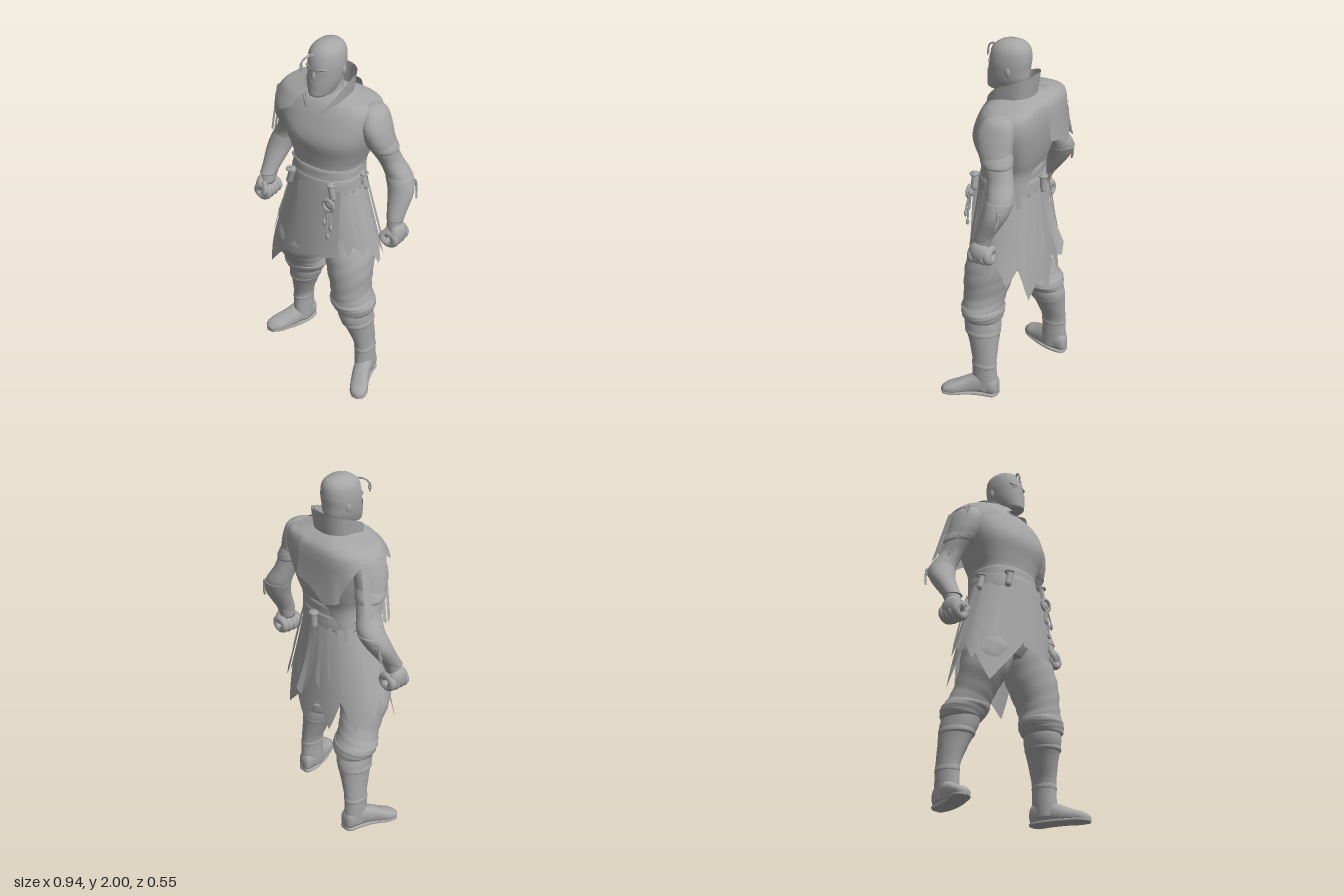
import * as THREE from 'three';

const grey = new THREE.MeshStandardMaterial({ color: 0xa6a6a6, side: THREE.DoubleSide });
grey.name = 'plain grey';
const V = (x, y, z) => new THREE.Vector3(x, y, z);

function mesh(name, geo, x = 0, y = 0, z = 0) {
  const m = new THREE.Mesh(geo, grey);
  m.name = name;
  m.position.set(x, y, z);
  return m;
}

// smooth interpolation through table rows, t in 0..1
function sample(rows, t) {
  const f = t * (rows.length - 1), i = Math.min(Math.floor(f), rows.length - 2), u = f - i;
  const at = k => rows[Math.max(0, Math.min(rows.length - 1, k))];
  const [a, b, c, d] = [at(i - 1), at(i), at(i + 1), at(i + 2)];
  return b.map((v, k) => v + 0.5 * u * (c[k] - a[k] + u * (2 * a[k] - 5 * v + 4 * c[k] - d[k] + u * (3 * (v - c[k]) + d[k] - a[k]))));
}
const pw = (v, p) => Math.sign(v) * Math.abs(v) ** (2 / p);
// rounded-box outline, with its own squareness for the back half
const outline = (a, p, pBack) => {
  const q = Math.cos(a) < 0 ? pBack : p;
  return [pw(Math.sin(a), q), pw(Math.cos(a), q)];
};
const lerpList = (l, u) => {
  const f = u * (l.length - 1), i = Math.min(Math.floor(f), Math.max(0, l.length - 2));
  return l.length < 2 ? l[0] : l[i] + (l[i + 1] - l[i]) * (f - i);
};
function buffer(pos, idx) {
  const g = new THREE.BufferGeometry();
  g.setAttribute('position', new THREE.Float32BufferAttribute(pos, 3));
  g.setIndex(idx);
  g.computeVertexNormals();
  return g;
}

// closed body through cross-sections [x, y, z, rx, rOther]
function loft(name, rows, { axis = 'y', p = 2, pBack = p, fold = 0, seg = 32 } = {}) {
  const pos = [], idx = [], n = (rows.length - 1) * 5;
  for (let i = 0; i <= n; i++) {
    const [x, y, z, rx, rz] = sample(rows, i / n);
    for (let j = 0; j < seg; j++) {
      const a = j / seg * Math.PI * 2, k = 1 + fold * Math.sin(3 * a + i * 0.9) * Math.sin(i * 0.6 + a);
      const [s, c] = outline(a, p, pBack);
      if (axis === 'y') pos.push(x + s * rx * k, y, z + c * rz * k);
      else pos.push(x + s * rx, Math.max(0, y + c * rz), z);
      const b = i * seg + j, d = i * seg + (j + 1) % seg;
      if (i < n) idx.push(b, b + seg, d + seg, b, d + seg, d);
    }
  }
  for (const [i, end] of [[0, 0], [n, 1]]) {
    const r = rows[end ? rows.length - 1 : 0], c = pos.length / 3;
    pos.push(r[0], r[1], r[2]);
    for (let j = 0; j < seg; j++) {
      const b = i * seg + j, d = i * seg + (j + 1) % seg;
      idx.push(c, end ? d : b, end ? b : d);
    }
  }
  return mesh(name, buffer(pos, idx));
}

// thin cloth lying on a surface between angles a0..a1, with shaped top and hem
function panel(name, surf, a0, a1, tops, hems, off = 0.01, flare = 0) {
  const nu = Math.max(4, (hems.length - 1) * 4, (tops.length - 1) * 4), nv = 14, pos = [], idx = [];
  for (let i = 0; i <= nv; i++) for (let j = 0; j <= nu; j++) {
    const u = j / nu, t = i / nv, top = lerpList(tops, u);
    const y = top + (lerpList(hems, u) - top) * t;
    const q = surf(a0 + (a1 - a0) * u, y, off + flare * t * t);
    pos.push(q.x, q.y, q.z);
    const b = i * (nu + 1) + j;
    if (i < nv && j < nu) idx.push(b, b + nu + 1, b + nu + 2, b, b + nu + 2, b + 1);
  }
  return mesh(name, buffer(pos, idx));
}

const tube = (name, pts, r = 0.007) =>
  mesh(name, new THREE.TubeGeometry(new THREE.CatmullRomCurve3(pts.map(q => V(...q))), 14, r, 6));
function ball(name, x, y, z, sx, sy, sz) {
  const m = mesh(name, new THREE.SphereGeometry(1, 20, 14), x, y, z);
  m.scale.set(sx, sy, sz);
  return m;
}

const TORSO = [[0, 1.745, -.01, .05, .05], [0, 1.722, -.02, .11, .085], [0, 1.702, -.03, .18, .118], [0, 1.675, -.03, .25, .145], [0, 1.6, -.015, .268, .17],
  [0, 1.5, .005, .248, .182], [0, 1.4, .005, .212, .164], [0, 1.32, .01, .187, .148], [0, 1.2, .015, .192, .15],
  [0, 1.05, .015, .2, .15], [0, .93, .01, .17, .14], [0, .85, .01, .1, .1]];
const HEAD = [[0, 2, .012, .012, .016], [0, 1.988, .012, .048, .062], [0, 1.955, .018, .077, .096], [0, 1.9, .025, .087, .109],
  [0, 1.85, .03, .085, .108], [0, 1.8, .035, .077, .108], [0, 1.76, .05, .063, .095], [0, 1.735, .065, .048, .08], [0, 1.722, .075, .02, .04]];

// surface of a body table at angle a and height y (0 = front, positive = model's left)
const onBody = (rows, p, pBack) => (a, y, off) => {
  let lo = 0, hi = 1;
  for (let k = 0; k < 24; k++) { const m = (lo + hi) / 2; sample(rows, m)[1] > y ? lo = m : hi = m; }
  const [x, , z, rx, rz] = sample(rows, lo), [s, c] = outline(a, p, pBack);
  return V(x + s * (rx + off), y + off * 0.6, z + c * (rz + off));
};
const onTorso = onBody(TORSO, 2.3, 3.4), onHead = onBody(HEAD, 2.15, 2.15);
const onCape = (a, y, off) => onTorso(a, Math.max(y, 1.59), off).setY(y + off * 0.6);
const onSkirt = (a, y, off) => V(Math.sin(a) * (.195 + (1.22 - y) * .29 + off), y, .008 + Math.cos(a) * (.162 + (1.22 - y) * .1 + off));
const onCollar = (a, y, off) => {
  const [s, c] = outline(a, 2.6, 2.6);
  return V(s * (.1 + (y - 1.64) * .1 + off), y, (1.83 - y) * .12 + c * (.112 + off));
};
// shoulder ribbons fall outward and a little back
const onRibbon = z => (u, y, off) => V(-.295 - (1.66 - y) * .26 - off, y, z + u - (1.66 - y) * .13);

function arm(side) {
  const g = new THREE.Group(), dz = side < 0 ? .045 : 0;
  g.name = side > 0 ? 'leftArm' : 'rightArm';
  const rows = [[.235, 1.69, -.035, .02, .03], [.25, 1.665, -.035, .055, .075], [.268, 1.6, -.025, .068, .098], [.285, 1.52, -.03, .072, .092], [.303, 1.45, -.052, .066, .078],
    [.325, 1.38, -.08, .06, .068], [.362, 1.3, -.1, .07, .07], [.392, 1.21, -.085 + dz / 3, .066, .062],
    [.402, 1.11, -.035 + dz * .7, .046, .05], [.405, 1.02, -.012 + dz, .038, .042]];
  g.add(loft('armBody', rows, { p: 2.1 }));
  // sleeve edge and bracer
  g.add(loft('sleeve', [[.284, 1.525, -.03, .066, .088], [.293, 1.49, -.04, .072, .09], [.303, 1.455, -.052, .072, .084], [.307, 1.44, -.056, .058, .07]], { fold: .02 }));
  g.add(loft('bracer', [[.365, 1.295, -.1, .066, .066], [.369, 1.285, -.1, .073, .073], [.392, 1.21, -.083 + dz / 3, .07, .067],
    [.402, 1.11, -.035 + dz * .7, .05, .054], [.404, 1.075, -.02 + dz, .045, .048]]));
  // fist with curled fingers
  g.add(ball('backOfHand', .428, 1, -.012 + dz, .038, .06, .06));
  for (let i = 0; i < 4; i++) {
    const f = mesh('finger', new THREE.TorusGeometry(.036, .022, 10, 20), .405, .975 + (i === 3 ? .006 : 0), .03 - i * .03 + dz);
    f.scale.y = .9;
    g.add(f);
  }
  g.add(tube('thumb', [[.4, 1.03, .025 + dz], [.372, .995, .05 + dz], [.39, .965, .055 + dz]], .016));
  // bracer ties
  for (const d of [0, .02]) g.add(tube('bracerTie', [[.42, 1.26 - d, -.14], [.45, 1.27 - d, -.13], [.458, 1.22 - d, -.13], [.465, 1.19 - d, -.12]], .006));
  g.scale.x = side;
  return g;
}

function leg(side) {
  const g = new THREE.Group();
  g.name = side > 0 ? 'leftLeg' : 'rightLeg';
  const back = y => side > 0 ? 0 : -.165 * THREE.MathUtils.smoothstep(.82 - y, 0, .38);
  const put = rows => rows.map(([x, y, z, a, b]) => [x, y, z + back(y), a, b]);
  g.add(loft('baggyTrouser', put([[.11, 1.04, .01, .09, .13], [.135, .93, .025, .115, .14], [.165, .82, .045, .127, .148], [.182, .72, .065, .126, .136],
    [.198, .62, .08, .113, .118], [.21, .56, .085, .114, .114], [.217, .52, .085, .124, .118], [.22, .49, .083, .116, .112], [.225, .47, .08, .09, .095]]), { fold: .035 }));
  g.add(loft('kneeCuff', put([[.21, .56, .085, .1, .1], [.216, .53, .086, .124, .12], [.222, .5, .085, .12, .117], [.226, .468, .083, .104, .107], [.228, .458, .082, .08, .08]]), { fold: .035 }));
  g.add(loft('shin', put([[.225, .52, .085, .09, .095], [.234, .43, .08, .092, .105], [.254, .34, .065, .073, .088], [.275, .24, .052, .054, .073],
    [.28, .18, .05, .052, .07], [.281, .1, .05, .051, .073], [.283, .03, .055, .05, .072]]), { fold: .012 }));
  for (const [x, y, z, a, b] of [[.242, .395, .075, .086, .1], [.279, .195, .05, .052, .071]])
    g.add(loft('shinWrap', put([[x, y + .02, z, a - .006, b - .006], [x, y + .01, z, a + .001, b + .001], [x + .002, y - .01, z, a + .001, b + .001], [x + .002, y - .02, z, a - .008, b - .008]])));
  // boot foot, turned outward, with a flat sole
  const foot = [[.275, .05, -.03, .022, .03], [.278, .06, -.012, .043, .06], [.284, .07, .05, .05, .07], [.308, .052, .125, .053, .055],
    [.345, .033, .195, .057, .04], [.363, .025, .245, .046, .028], [.368, .018, .272, .018, .012]];
  g.add(loft('boot', foot.map(([x, y, z, a, b]) => [x, y, z + back(0), a, b]), { axis: 'z', p: 2.3 }));
  g.add(loft('sole', foot.map(([x, , z, a]) => [x, .008, z + back(0), a + .001, .01]), { axis: 'z', p: 4 }));
  g.scale.x = side;
  return g;
}

export function createModel() {
  const model = new THREE.Group();
  const add = (...m) => model.add(...m);
  let seed = 7;
  const rnd = () => (seed = (seed * 16807) % 2147483647) / 2147483647;
  const PI = Math.PI;

  // head, mask and hair
  add(loft('head', HEAD, { p: 2.15 }), loft('neck', [[0, 1.82, .01, .062, .07], [0, 1.74, 0, .07, .075], [0, 1.64, -.01, .085, .085]]));
  add(panel('faceMask', onHead, -1.7, 1.7, [1.82, 1.825, 1.835, 1.848, 1.835, 1.825, 1.82], [1.75, 1.735, 1.728, 1.726, 1.728, 1.735, 1.75], .005));
  add(panel('hairCap', onHead, -PI, PI, [1.998], [1.8, 1.82, 1.88, 1.94, 1.93, 1.94, 1.88, 1.82, 1.8], .003));
  add(ball('nose', 0, 1.835, .134, .013, .035, .013));
  for (const s of [-1, 1]) {
    add(ball('ear', s * .085, 1.85, .0, .008, .026, .015), ball('eye', s * .033, 1.866, .125, .014, .004, .007));
    const brow = ball('brow', s * .036, 1.883, .124, .032, .007, .008);
    brow.rotation.set(0, s * .3, s * .12);
    add(brow);
  }
  add(tube('hairStrand', [[.0, 1.95, .105], [-.025, 1.953, .135], [-.045, 1.925, .17], [-.042, 1.885, .172]], .004),
    tube('hairStrand', [[-.01, 1.945, .11], [-.03, 1.945, .15], [-.05, 1.91, .178], [-.045, 1.87, .178]], .004));

  // torso, overlapping vest, collar and sash
  add(loft('torso', TORSO, { p: 2.3, pBack: 3.4, seg: 48 }));
  add(panel('vestOverlap', onTorso, -.75, 1.4, [1.69], [1.57, 1.54, 1.48, 1.43, 1.41, 1.42], .008));
  const collarTop = [1.655, 1.71, 1.765, 1.8, 1.82, 1.828, 1.83, 1.828, 1.82, 1.8, 1.765, 1.71, 1.655];
  add(panel('collar', onCollar, .3, 2 * PI - .3, collarTop, [1.6, 1.61, 1.63, 1.66, 1.66, 1.66, 1.63, 1.61, 1.6], .01));
  add(panel('collarLining', onCollar, .3, 2 * PI - .3, collarTop, [1.61, 1.62, 1.63, 1.66, 1.66, 1.66, 1.63, 1.62, 1.61], 0));
  add(loft('sash', [[0, 1.335, .01, .182, .145], [0, 1.325, .01, .19, .155], [0, 1.28, .012, .192, .157], [0, 1.265, .012, .197, .162], [0, 1.2, .013, .202, .165], [0, 1.19, .013, .19, .15]], { p: 2.3, fold: .006, seg: 48 }));

  // one-sided shoulder cape with hanging ribbons
  add(panel('shoulderCape', onCape, -.3, -PI - .05, [1.715], [1.63, 1.58, 1.56, 1.62, 1.64, 1.61, 1.54, 1.41, 1.38, 1.48], .03, .016));
  for (let i = 0; i < 6; i++)
    add(panel('shoulderRibbon', onRibbon(.03 - i * .03), 0, .018 + rnd() * .015, [1.66], [1.42 - rnd() * .1, 1.38 - rnd() * .1], .012));
  add(panel('backRibbon', onCape, -2.45, -2.6, [1.6], [1.42, 1.4], .04, .02));

  for (const s of [1, -1]) add(arm(s), leg(s));

  // skirt: torn under-layer, front cloths and loose strips
  add(panel('tornSkirt', onSkirt, .6, 2 * PI - .75, [1.22], [.95, .88, .82, .88, .76, .84, .73, .82, .62, .72, .6, .78, .62, .8, .64, .76, .72, .84, .74, .86, .82], 0));
  add(panel('rightFrontCloth', onSkirt, -1.3, -.1, [1.22], [.84, .72, .61, .72, .82, .92], .012));
  add(panel('frontApron', (a, y, o) => V(a, y, onSkirt(Math.asin(a / .3), y, o).z), -.07, .18, [1.24], [.845, .83, .825, .835], .022, -.005));
  for (let i = 0; i < 19; i++) {
    const a = .7 + i * .26 + rnd() * .08, hem = .76 + rnd() * .2, w = .1 + rnd() * .1;
    add(panel('skirtStrip', onSkirt, a, a + w, [1.22], [hem + .04, hem, hem + .07], .01 + rnd() * .012, .015 * rnd()));
  }
  add(panel('backStrip', onSkirt, PI - .07, PI + .15, [1.2], [.84, .82, .88], .02, .06));

  // sash loops, ring, pouch and charms
  for (const [x, z, tilt] of [[-.13, .17, -.3], [.135, .17, .2], [0, -.165, 0], [-.2, .03, -.3], [.2, -.02, .3]]) {
    const loop = mesh('sashLoop', new THREE.CapsuleGeometry(.018, .07, 4, 10), x, 1.235, z);
    loop.rotation.z = tilt;
    const knot = mesh('loopKnot', new THREE.TorusGeometry(.02, .007, 8, 16), x, 1.275, z);
    knot.rotation.x = PI / 2;
    add(loop, knot);
  }
  add(mesh('beltRing', new THREE.TorusGeometry(.032, .009, 8, 24), .135, 1.165, .2), ball('pouch', .135, 1.165, .19, .026, .026, .014));
  for (const [x, end] of [[.115, 1.06], [.135, .98], [.155, 1.04]])
    add(tube('charmCord', [[.135, 1.14, .205], [x, 1.09, .21], [x + .005, end, .215]], .005), ball('charm', x + .005, end, .215, .011, .02, .009));
  return model;
}
